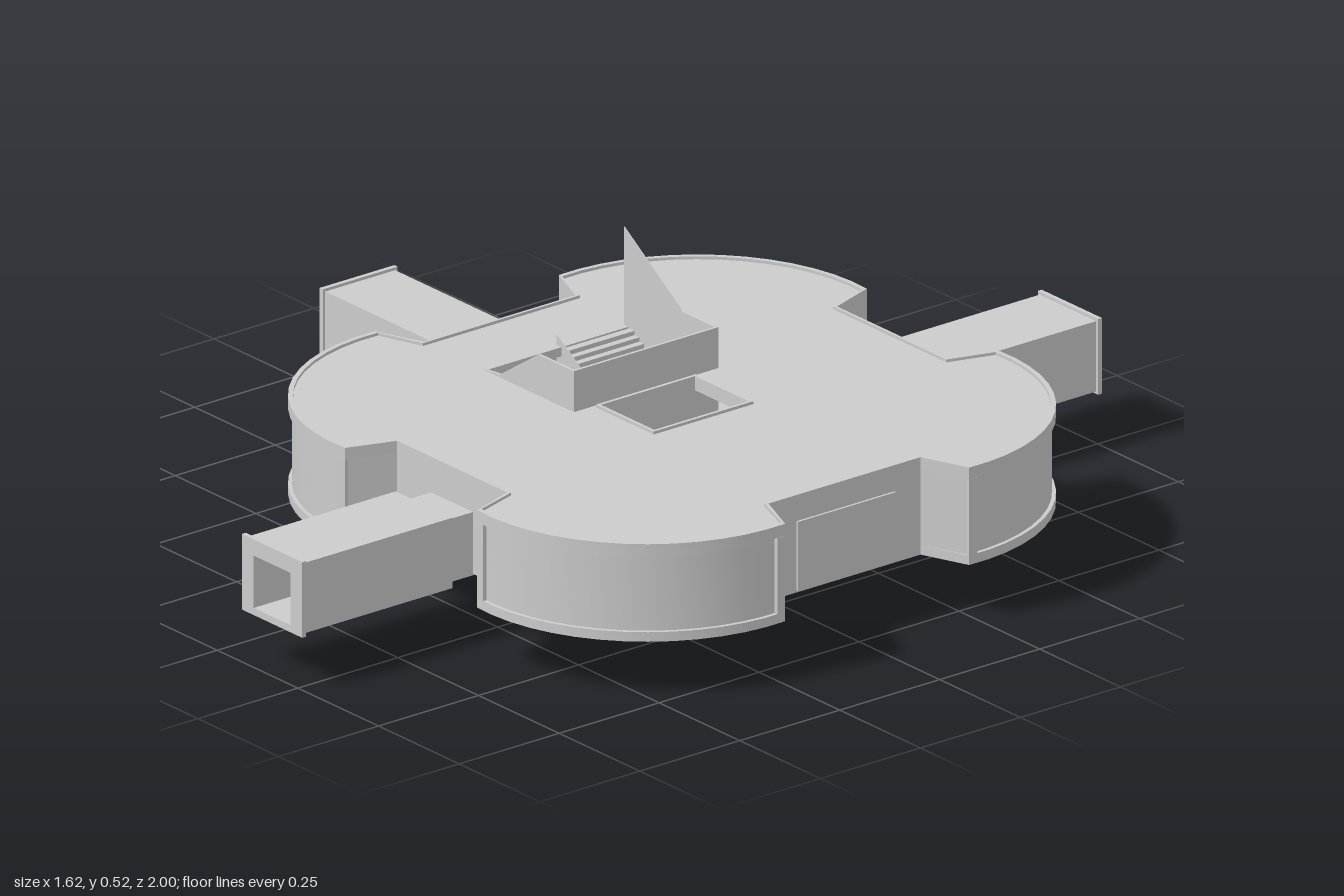
import * as THREE from 'three';
import { toCreasedNormals } from 'three/addons/utils/BufferGeometryUtils.js';

const CX = 0.17; // centre of the main building on x
const LOBE = { x: 0.24, z: 0.257, r: 0.397, a0: -0.068, a1: Math.PI / 2 + 0.088 };
const mat = new THREE.MeshStandardMaterial({ color: 0xcccccc, side: THREE.DoubleSide });

export function createModel() {
  const model = new THREE.Group();

  const add = (parent, name, geo) => {
    const m = new THREE.Mesh(geo, mat);
    m.name = name;
    parent.add(m);
    return m;
  };
  const box = (parent, name, x0, x1, y0, y1, z0, z1) => {
    const m = add(parent, name, new THREE.BoxGeometry(x1 - x0, y1 - y0, z1 - z0));
    m.position.set((x0 + x1) / 2, (y0 + y1) / 2, (z0 + z1) / 2);
    return m;
  };
  const pts = (list) => list.map(([x, y]) => new THREE.Vector2(x, y));
  const rect = (x0, x1, y0, y1) => pts([[x0, y0], [x1, y0], [x1, y1], [x0, y1]]);

  // Plan outline: four round lobes joined by notched straight sides
  const outline = (shrink, notch = 0) => {
    const quarter = [[0.535 - notch, 0.19 + notch]];
    for (let i = 0; i <= 14; i++) {
      const a = LOBE.a0 + (LOBE.a1 - LOBE.a0) * i / 14;
      const r = LOBE.r - shrink;
      quarter.push([LOBE.x + Math.cos(a) * r, LOBE.z + Math.sin(a) * r]);
    }
    quarter.push([0.17 + notch, 0.55 - notch]);
    const all = [];
    [[1, 1], [-1, 1], [-1, -1], [1, -1]].forEach(([sx, sz], k) => {
      const q = k % 2 ? [...quarter].reverse() : quarter;
      q.forEach(([x, z]) => all.push([CX + sx * x, sz * z]));
    });
    return pts(all);
  };

  // Plan shape extruded vertically between y0 and y1
  const slab = (parent, name, points, holes, y0, y1) => {
    const s = new THREE.Shape(points);
    holes.forEach((h) => s.holes.push(new THREE.Path(h)));
    const g = new THREE.ExtrudeGeometry(s, { depth: y1 - y0, bevelEnabled: false });
    g.rotateX(Math.PI / 2).translate(0, y1, 0);
    return add(parent, name, toCreasedNormals(g, 0.5));
  };

  // Main building: hollow shell with floor, walls, roof and edge bands
  const building = new THREE.Group();
  building.name = 'building';
  model.add(building);
  const inner = outline(0.03, 0.02);
  const shaft = rect(0.105, 0.27, -0.11, 0.125);
  slab(building, 'floor', outline(0), [rect(-0.19, 0.27, -0.18, 0.18)], 0.125, 0.145);
  slab(building, 'outerWall', outline(0.008), [inner], 0.145, 0.305);
  slab(building, 'roof', outline(0.008), [rect(-0.185, 0.085, -0.18, 0.18), shaft], 0.305, 0.324);
  slab(building, 'roofRim', outline(0), [outline(0.01, 0.006)], 0.305, 0.33);
  slab(building, 'shaftFrame', rect(0.098, 0.277, -0.117, 0.132), [shaft], 0.3, 0.33);

  // Upright frame posts at both ends of each curved window
  for (const sx of [1, -1]) for (const sz of [1, -1]) {
    for (const a of [LOBE.a0, LOBE.a1 - 0.05]) {
      const corner = (r, t) => [
        CX + sx * (LOBE.x + Math.cos(t) * r), sz * (LOBE.z + Math.sin(t) * r)];
      const r0 = LOBE.r - 0.015;
      slab(building, 'windowPost', pts([corner(r0, a), corner(LOBE.r, a),
        corner(LOBE.r, a + 0.05), corner(r0, a + 0.05)]), [], 0.145, 0.305);
    }
  }
  box(building, 'sideDoor', 0.7, 0.71, 0.13, 0.275, -0.125, 0.12);

  // Square tube along +z with an open middle
  const tube = (parent, name, w, y0, y1, hole, z0, z1) => {
    const s = new THREE.Shape(rect(-w / 2, w / 2, y0, y1));
    s.holes.push(new THREE.Path(hole));
    const g = new THREE.ExtrudeGeometry(s, { depth: z1 - z0, bevelEnabled: false });
    add(parent, name, g.translate(0, 0, z0));
  };

  // Access tunnels on three sides
  const tunnel = (name, angle, x, z) => {
    const t = new THREE.Group();
    t.name = name;
    const hole = rect(-0.057, 0.057, 0.13, 0.24);
    tube(t, 'tunnelNeck', 0.13, 0.122, 0.255, hole, 0.54, 0.62);
    tube(t, 'tunnelBody', 0.175, 0.12, 0.268, hole, 0.62, 0.99);
    tube(t, 'tunnelFlange', 0.187, 0.115, 0.274, hole, 0.99, 1.0);
    box(t, 'doorLeafLeft', 0.001, 0.057, 0.13, 0.24, 0.55, 0.558);
    box(t, 'doorLeafRight', -0.057, -0.001, 0.13, 0.24, 0.55, 0.558);
    box(t, 'doorHandle', -0.04, -0.034, 0.175, 0.19, 0.558, 0.563);
    t.rotation.y = angle;
    t.position.set(x, 0, z);
    model.add(t);
  };
  tunnel('frontTunnel', 0, CX, 0);
  tunnel('backTunnel', Math.PI, CX, 0);
  tunnel('rightTunnel', -Math.PI / 2, CX + 0.017, -0.005);

  // Staircase: two flights side by side with a shared landing
  const stairs = new THREE.Group();
  stairs.name = 'staircase';
  model.add(stairs);
  const STEPS = 11;
  for (let i = 0; i < STEPS; i++) {
    const x = -0.02 - (i + 1) * 0.0145;
    const rise = (i + 1) * 0.0092;
    box(stairs, 'upperStep', x, x + 0.0165, 0.21 + rise, 0.222 + rise, -0.175, -0.012);
    box(stairs, 'lowerStep', x, x + 0.0165, 0.21 - rise, 0.222 - rise, 0.016, 0.175);
  }
  box(stairs, 'landing', -0.02, 0.085, 0.205, 0.22, -0.178, 0.178);

  // Thin upright panels that follow the slope of the flights
  const panel = (name, points, z, depth) => {
    const g = new THREE.ExtrudeGeometry(new THREE.Shape(pts(points)), { depth, bevelEnabled: false });
    add(stairs, name, g.translate(0, 0, z));
  };
  panel('backStairPanel', [[-0.2, 0.125], [-0.02, 0.005], [-0.02, 0.41], [-0.2, 0.53]], -0.18, 0.002);
  panel('middleStairPanel', [[-0.2, 0.125], [-0.02, 0.005], [-0.02, 0.23], [-0.2, 0.345]], -0.012, 0.002);
  panel('frontParapet', [[-0.19, 0.125], [-0.02, 0.205], [0.09, 0.205], [0.09, 0.41],
    [-0.02, 0.41], [-0.14, 0.33], [-0.19, 0.325]], 0.175, 0.006);
  panel('backParapet', [[-0.02, 0.205], [0.09, 0.205], [0.09, 0.41], [-0.02, 0.41]], -0.181, 0.006);
  box(stairs, 'endParapet', 0.084, 0.09, 0.205, 0.41, -0.18, 0.18);

  return model;
}
